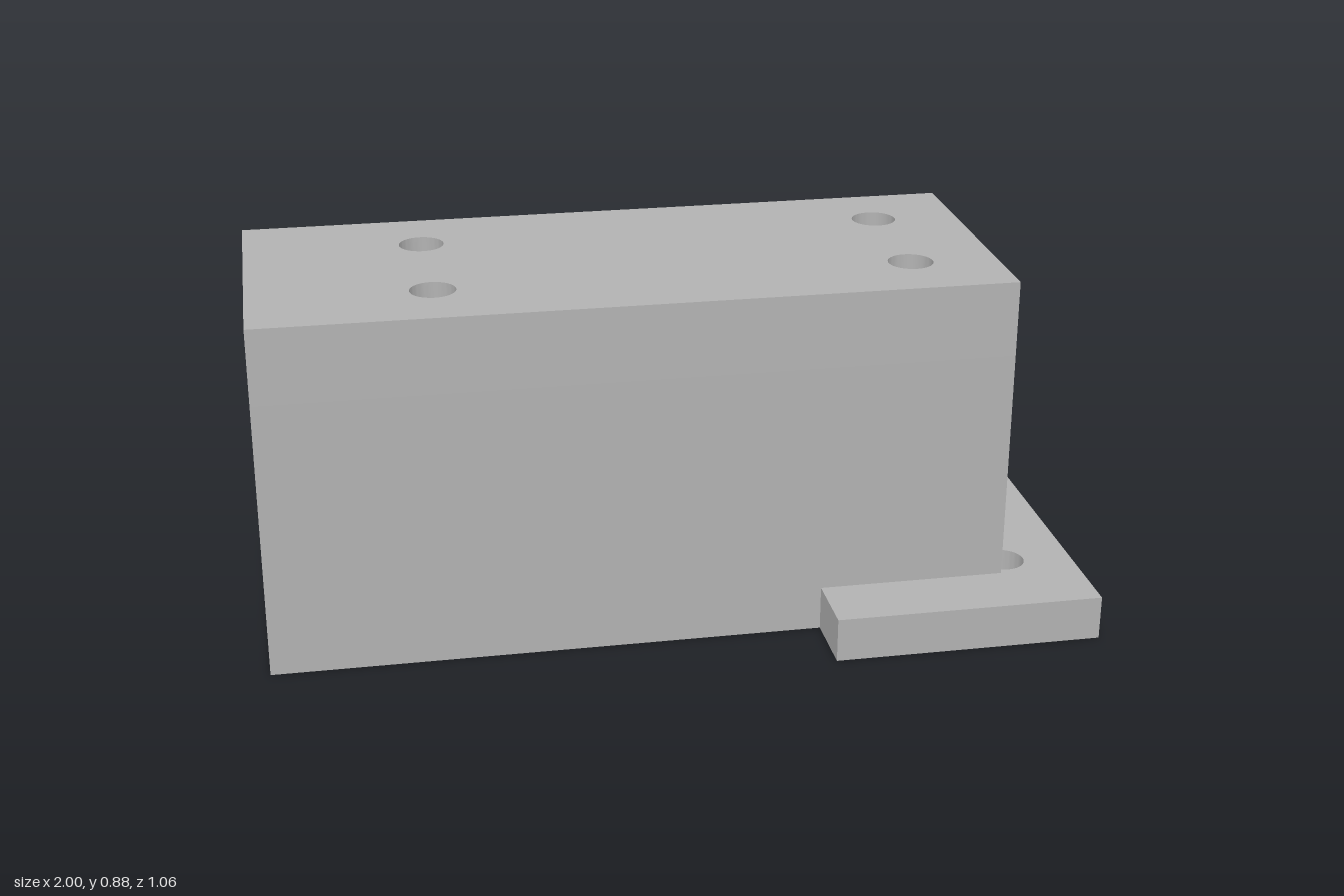
import * as THREE from 'three';
import { toCreasedNormals } from 'three/addons/utils/BufferGeometryUtils.js';

// Main dimensions
const X0 = -1, X1 = 0.8;                // housing ends
const OUT = 0.36, IN = 0.25;            // housing half width, outside and inside
const FLOOR = 0.11, NOTCH = 0.135, CEIL = 0.69, TOP = 0.875;
const FLANGE_X = 0.34, FLANGE_Z = 0.53; // wide mounting flange
const BOLT = { x: 0.825, z: 0.29, r: 0.055 };

// Closed outline from [x, z] points
const outline = (pts) => new THREE.Shape(pts.map(([x, z]) => new THREE.Vector2(x, z)));
const rect = (x0, x1, z0, z1) => [[x0, z0], [x1, z0], [x1, z1], [x0, z1]];

// Pair of round holes mirrored across the middle
function holePair(shape, x, z, r) {
  for (const s of [1, -1]) {
    const hole = new THREE.Path();
    hole.absarc(x, s * z, r, 0, Math.PI * 2, true);
    shape.holes.push(hole);
  }
}

export function createModel() {
  const group = new THREE.Group();
  const grey = new THREE.MeshStandardMaterial({ color: 0xb2b2b2 });
  grey.name = 'plain grey';

  // Horizontal slab with the given plan, from y0 up to y1
  function slab(name, shape, y0, y1) {
    const geo = new THREE.ExtrudeGeometry(shape, { depth: y1 - y0, bevelEnabled: false, curveSegments: 24 });
    geo.rotateX(-Math.PI / 2).translate(0, y0, 0);
    const mesh = new THREE.Mesh(toCreasedNormals(geo, Math.PI / 6), grey);
    mesh.name = name;
    group.add(mesh);
  }

  // Base: narrow floor with a large window, widening into the flange
  const base = outline([
    [X0, -OUT], [FLANGE_X, -OUT], [FLANGE_X, -FLANGE_Z], [1, -FLANGE_Z],
    [1, FLANGE_Z], [FLANGE_X, FLANGE_Z], [FLANGE_X, OUT], [X0, OUT],
  ]);
  base.holes.push(new THREE.Path(rect(-0.83, 0.16, -IN, IN).reverse().map(([x, z]) => new THREE.Vector2(x, z))));
  holePair(base, BOLT.x, BOLT.z, BOLT.r);
  holePair(base, 0.587, 0.17, 0.077);
  holePair(base, 0.264, 0.12, 0.052);
  holePair(base, -0.922, 0.12, 0.052);
  slab('basePlate', base, 0, FLOOR);

  // Side walls, with a shallow round bolt clearance at the foot of the open end
  for (const s of [1, -1]) {
    const side = s > 0 ? 'back' : 'front';
    const dx = X1 - BOLT.x, dz = IN - BOLT.z;
    const a0 = Math.atan2(Math.sqrt(BOLT.r ** 2 - dx ** 2), dx);
    const a1 = Math.atan2(dz, -Math.sqrt(BOLT.r ** 2 - dz ** 2)) + Math.PI * 2;
    const foot = [[X0, IN], [X0, OUT], [X1, OUT]];
    for (let i = 0; i <= 12; i++) {
      const a = a0 + (a1 - a0) * i / 12;
      foot.push([BOLT.x + BOLT.r * Math.cos(a), BOLT.z + BOLT.r * Math.sin(a)]);
    }
    slab(side + 'WallFoot', outline(foot.map(([x, z]) => [x, s * z])), FLOOR, NOTCH);
    slab(side + 'Wall', outline(rect(X0, X1, s * IN, s * OUT)), NOTCH, CEIL);
  }

  // Roof: wide counterbores below, narrow bolt holes above
  for (const [name, r, y0, y1] of [['roofCounterbore', 0.095, CEIL, 0.79], ['roofTop', 0.055, 0.79, TOP]]) {
    const roof = outline(rect(X0, X1, -OUT, OUT));
    for (const x of [-0.565, 0.587]) holePair(roof, x, 0.17, r);
    slab(name, roof, y0, y1);
  }

  return group;
}
